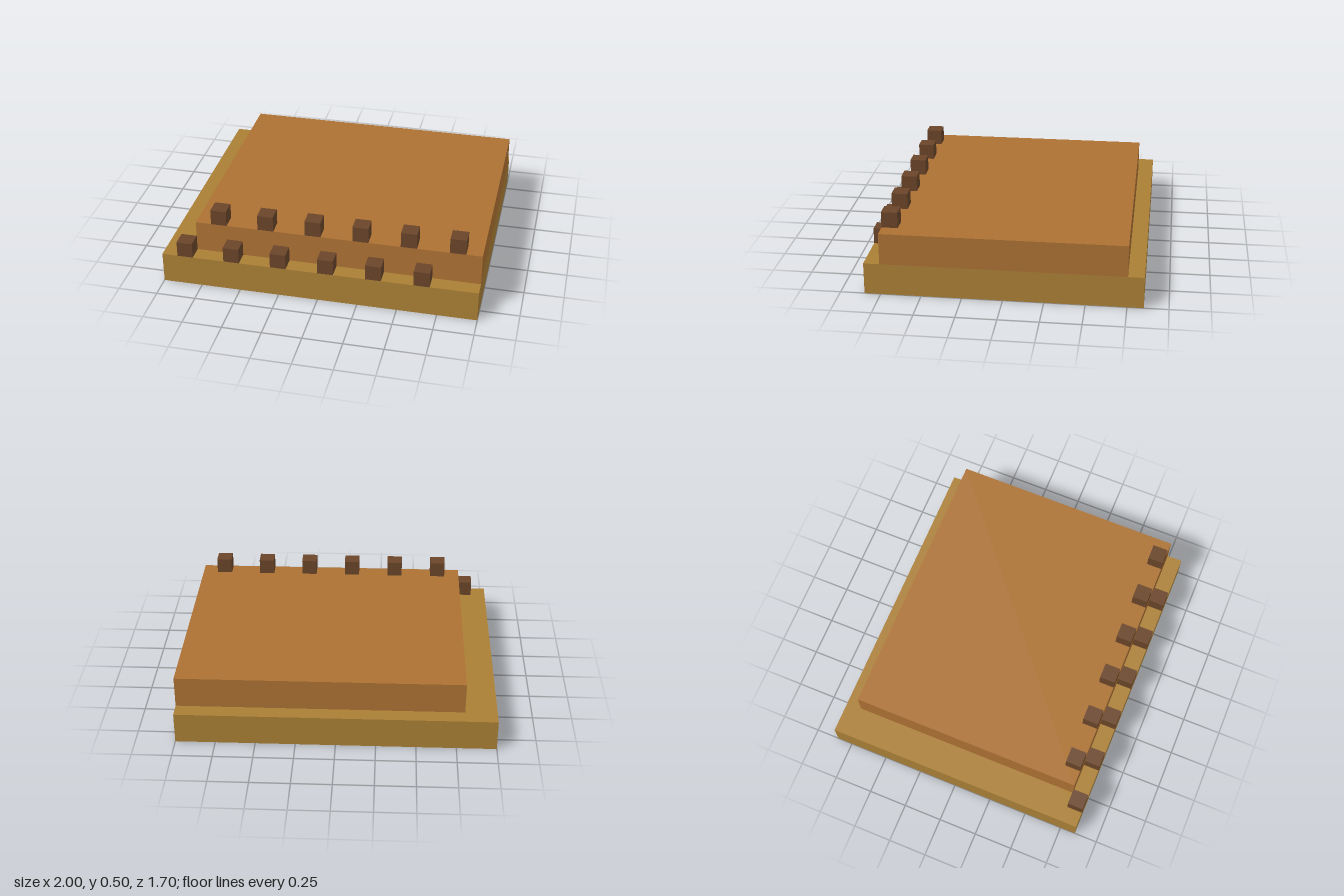
import * as THREE from 'three';

const material = (color) => new THREE.MeshStandardMaterial({ color });

// Box given by its size and minimum corner
function block(name, size, min, mat) {
  const mesh = new THREE.Mesh(new THREE.BoxGeometry(...size), mat);
  mesh.position.set(...min.map((m, i) => m + size[i] / 2));
  mesh.name = name;
  return mesh;
}

// Row of six evenly spaced cubes along x
function studRow(name, x, y, z, mat) {
  const row = new THREE.Group();
  row.name = name;
  for (let i = 0; i < 6; i++) {
    row.add(block('stud', [0.1, 0.1, 0.1], [x + i * 0.3, y, z], mat));
  }
  return row;
}

export function createModel() {
  const model = new THREE.Group();
  model.name = 'steppedPlatform';
  const studMat = material(0x6a4529);

  // Two stacked slabs, flush on the left side
  model.add(block('lowerSlab', [2, 0.2, 1.7], [-1, 0, -0.85], material(0xaa7f35)));
  model.add(block('upperSlab', [1.8, 0.2, 1.5], [-0.8, 0.2, -0.75], material(0xac7133)));

  // Staggered studs along the front edge of each slab
  model.add(studRow('lowerStuds', -0.9, 0.2, 0.75, studMat));
  model.add(studRow('upperStuds', -0.7, 0.4, 0.65, studMat));

  return model;
}
